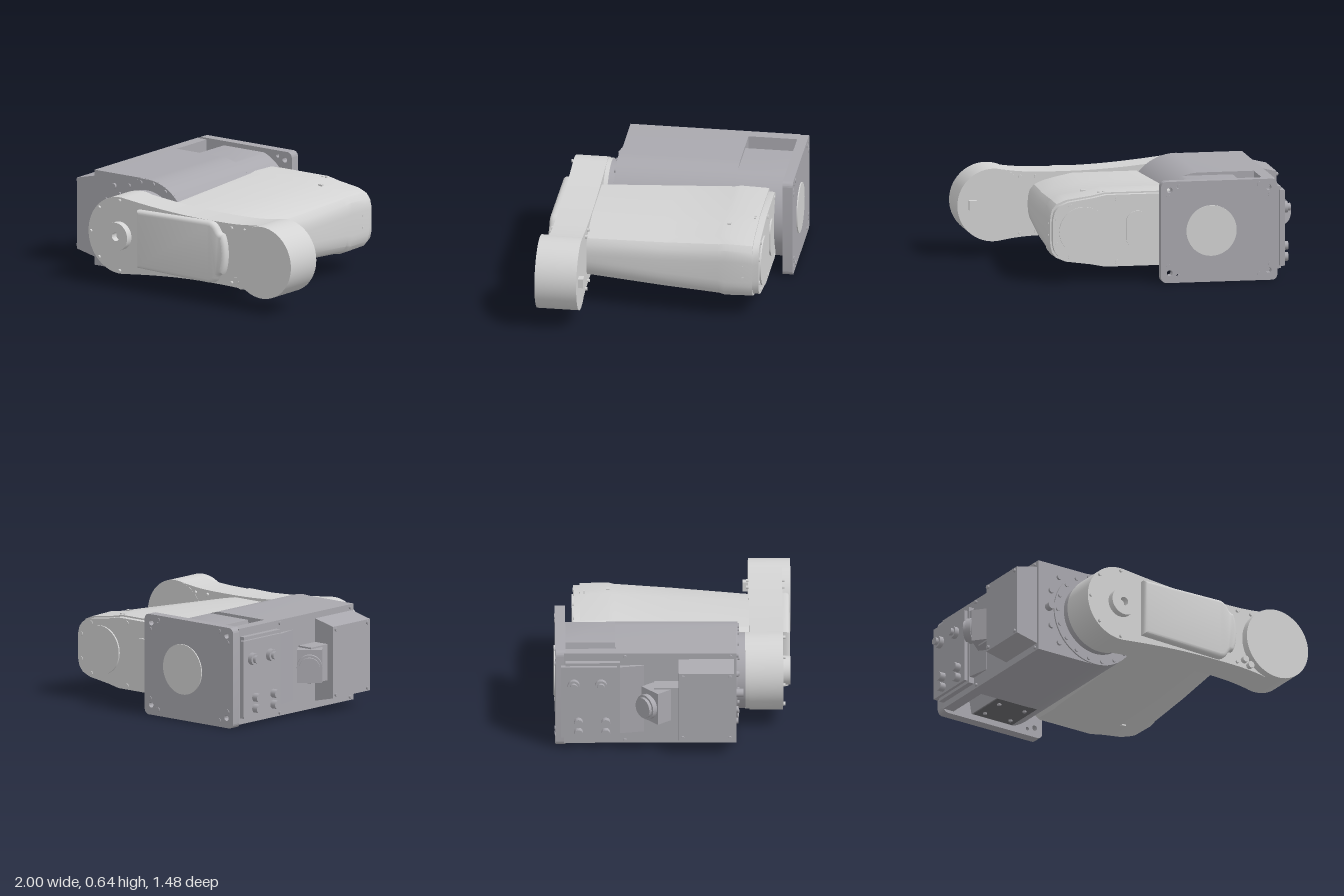
import * as THREE from 'three';
import { toCreasedNormals } from 'three/addons/utils/BufferGeometryUtils.js';

const mat = (name, color) => {
  const m = new THREE.MeshStandardMaterial({ color });
  m.name = name;
  return m;
};

export function createModel() {
  const model = new THREE.Group();
  model.name = 'robotArm';
  const baseGrey = mat('baseGrey', 0xa9a8ae);
  const armGrey = mat('armGrey', 0xd3d3d3);
  const darkGrey = mat('darkGrey', 0x6a6a6e);
  const CX = -0.375, CY = 0.325; // shoulder axis
  const EX = 0.77; // elbow axis

  const add = (name, geo, material, parent = model) => {
    const m = new THREE.Mesh(geo, material);
    m.name = name;
    parent.add(m);
    return m;
  };
  // box from its lower and upper corners
  const box = (name, a, b, material, parent) => {
    const m = add(name, new THREE.BoxGeometry(b[0] - a[0], b[1] - a[1], b[2] - a[2]), material, parent);
    m.position.set((a[0] + b[0]) / 2, (a[1] + b[1]) / 2, (a[2] + b[2]) / 2);
    return m;
  };
  // cylinder along z
  const disc = (name, x, y, r, z0, z1, material, parent, seg = 48) => {
    const g = new THREE.CylinderGeometry(r, r, z1 - z0, seg).rotateX(Math.PI / 2);
    const m = add(name, g, material, parent);
    m.position.set(x, y, (z0 + z1) / 2);
    return m;
  };
  // cylinder along x
  const sideDisc = (name, y, z, r, x0, x1, material, seg = 20) => {
    const g = new THREE.CylinderGeometry(r, r, x1 - x0, seg).rotateZ(Math.PI / 2);
    add(name, g, material).position.set((x0 + x1) / 2, y, z);
  };
  const extrude = (name, shape, z0, z1, material, bevel = 0) => {
    const g = new THREE.ExtrudeGeometry(shape, {
      depth: z1 - z0 - 2 * bevel, curveSegments: 24, bevelEnabled: bevel > 0,
      bevelSize: bevel, bevelThickness: bevel, bevelOffset: -bevel, bevelSegments: 3 });
    g.translate(0, 0, z0 + bevel);
    return add(name, toCreasedNormals(g, 0.6), material);
  };
  const polygon = (pts) => new THREE.Shape(pts.map(p => new THREE.Vector2(...p)));
  const hole = (shape, x, y, r) => shape.holes.push(new THREE.Path().absarc(x, y, r, 0, Math.PI * 2, true));
  const roundRect = (x0, y0, x1, y1, r) => {
    const s = new THREE.Shape();
    s.absarc(x1 - r, y1 - r, r, 0, Math.PI / 2);
    s.absarc(x0 + r, y1 - r, r, Math.PI / 2, Math.PI);
    s.absarc(x0 + r, y0 + r, r, Math.PI, Math.PI * 1.5);
    s.absarc(x1 - r, y0 + r, r, Math.PI * 1.5, Math.PI * 2);
    return s;
  };

  // ---- Base: square on one side, round about the shoulder on the other
  const front = new THREE.Shape();
  front.moveTo(-0.795, 0.02);
  front.lineTo(CX, 0.02);
  front.absarc(CX, CY, 0.305, -Math.PI / 2, Math.PI / 2);
  front.lineTo(-0.795, 0.63);
  extrude('baseBody', front, -0.36, 0.395, baseGrey);
  // rear part, with a deep slot and a shallow recess above and below
  const slot = [[-0.795, 0.63], [-0.72, 0.63], [-0.72, 0.5], [-0.605, 0.5], [-0.585, 0.612]];
  const rear = new THREE.Shape();
  rear.moveTo(-0.795, 0.02);
  slot.slice(1).forEach(([x, y]) => rear.lineTo(x, 2 * CY - y));
  rear.absarc(CX, CY, 0.305, -1.226, 1.226);
  slot.reverse().forEach(p => rear.lineTo(...p));
  extrude('baseRear', rear, -0.68, -0.36, baseGrey);
  box('undersideCover', [-0.58, 0.031, -0.655], [-0.29, 0.04, -0.375], darkGrey);
  for (const x of [-0.53, -0.34]) for (const z of [-0.6, -0.44])
    add('coverBolt', new THREE.CylinderGeometry(0.013, 0.013, 0.02, 8), baseGrey).position.set(x, 0.032, z);

  // ---- Mounting flange with bolt holes
  const flange = roundRect(-0.795, 0, -0.055, 0.64, 0.035);
  for (const s of [-1, 1]) {
    hole(flange, -0.165, CY + s * 0.28, 0.012);
    hole(flange, -0.11, CY + s * 0.262, 0.018);
    hole(flange, -0.74, CY + s * 0.262, 0.018);
  }
  extrude('mountingFlange', flange, -0.735, -0.67, baseGrey);
  disc('flangeCap', CX, CY, 0.16, -0.742, -0.73, armGrey);
  for (const x of [-0.75, -0.68, -0.17, -0.1]) for (const s of [-1, 1])
    disc('flangeBolt', x, CY + s * (x < -0.7 || x > -0.15 ? 0.22 : 0.285), 0.014, -0.74, -0.73, baseGrey, model, 8);

  // ---- Shoulder joint
  disc('shoulderCollar', CX, CY, 0.305, 0.39, 0.405, baseGrey, model, 64);
  disc('shoulderNeck', CX, CY, 0.235, 0.4, 0.455, baseGrey, model, 64);
  disc('linkHub', CX, CY, 0.24, 0.453, 0.49, armGrey, model, 64);
  for (let i = 0; i < 18; i++) {
    const a = i / 18 * Math.PI * 2;
    disc('collarBolt', CX + 0.283 * Math.cos(a), CY + 0.283 * Math.sin(a), 0.013, 0.4, 0.415, baseGrey, model, 8);
  }
  for (const s of [-1, 1]) {
    disc('basePlug', -0.7, CY + s * 0.12, 0.02, 0.39, 0.41, baseGrey, model, 12);
    disc('basePlug', -0.64, CY + s * 0.225, 0.018, 0.39, 0.41, baseGrey, model, 12);
    for (const z of [0.36, -0.3]) sideDisc('baseBolt', CY + s * 0.285, z, 0.011, -0.808, -0.79, baseGrey, 8);
  }
  disc('basePin', -0.72, CY, 0.026, 0.39, 0.44, baseGrey, model, 16);

  // ---- Side box, tapering outwards
  extrude('sideBox', polygon([[-0.945, 0.1], [-0.795, 0.065], [-0.795, 0.59], [-0.945, 0.555]]), 0.035, 0.38, baseGrey);
  for (const y of [0.12, 0.535]) for (const z of [0.06, 0.355])
    sideDisc('sideBoxBolt', y, z, 0.012, -0.958, -0.94, baseGrey, 8);

  // ---- Connector panel and plugs
  box('connectorPanel', [-0.83, 0.06, -0.67], [-0.79, 0.58, -0.33], baseGrey);
  box('connectorPlate', [-0.85, 0.08, -0.7], [-0.82, 0.56, -0.35], baseGrey);
  for (const z of [-0.62, -0.45]) {
    sideDisc('socketRim', 0.44, z, 0.038, -0.88, -0.84, baseGrey);
    sideDisc('socket', 0.44, z, 0.024, -0.9, -0.87, baseGrey);
    for (const y of [0.12, 0.19]) sideDisc('smallSocket', y, z + 0.03, 0.028, -0.89, -0.84, baseGrey, 12);
  }
  const wedge = polygon([[-0.79, 0.34], [-0.83, 0.34], [-0.8, 0.18], [-0.79, 0.18]]);
  extrude('panelWedge', wedge, 0.1, 0.55, baseGrey).rotation.x = -Math.PI / 2;
  const plug = new THREE.Group();
  plug.name = 'angledPlug';
  plug.position.set(-0.845, CY, -0.07);
  plug.rotation.y = Math.atan2(-0.65, -0.76);
  model.add(plug);
  box('plugBody', [-0.078, -0.105, -0.06], [0.078, 0.105, 0.1], baseGrey, plug);
  disc('plugNeck', 0, 0, 0.07, 0.09, 0.13, baseGrey, plug, 24);
  disc('plugRing', 0, 0, 0.08, 0.11, 0.14, baseGrey, plug, 24);
  disc('plugCap', 0, 0, 0.066, 0.13, 0.16, baseGrey, plug, 24);
  box('plugFoot', [-0.9, 0.21, -0.12], [-0.79, 0.44, 0.04], baseGrey);

  // ---- Main body: tapered loft from the rear cover to the link
  const section = (h, r, left) => {
    const top = [[left, h - 0.02], [left + 0.03, h], [0.27, h], [0.36, h - 0.018],
      [r - 0.1, h - 0.04], [r - 0.04, h - 0.065], [r - 0.012, h - 0.1], [r - 0.002, h - 0.14], [r, h - 0.17]];
    const bottom = top.map(([x, y]) => [x, -y]);
    return [...bottom, ...top.reverse()].map(([x, y]) => [x, CY + y]);
  };
  const stations = [[-0.575, 0.235, 0.62], [-0.4, 0.24, 0.62], [-0.36, 0.232, 0.614],
    [0, 0.213, 0.595], [0.5, 0.187, 0.55]];
  const pos = [], idx = [];
  stations.forEach(([z, h, r]) => section(h, r, -0.17).forEach(([x, y]) => pos.push(x, y, z)));
  const n = 18, last = (stations.length - 1) * n;
  for (let i = 0; i < stations.length - 1; i++) for (let j = 0; j < n; j++) {
    const a = i * n + j, b = i * n + (j + 1) % n;
    idx.push(a, b, b + n, a, b + n, a + n);
  }
  for (let j = 1; j < n - 1; j++) idx.push(0, j + 1, j, last, last + j, last + j + 1);
  const loft = new THREE.BufferGeometry();
  loft.setAttribute('position', new THREE.Float32BufferAttribute(pos, 3));
  loft.setIndex(idx);
  add('mainBody', toCreasedNormals(loft, 0.45), armGrey);
  extrude('rearCover', polygon(section(0.225, 0.61, -0.14)), -0.615, -0.57, armGrey);
  disc('rearRoundCap', 0.415, CY, 0.155, -0.625, -0.61, armGrey);
  extrude('rearOvalCap', roundRect(0, CY - 0.12, 0.145, CY + 0.12, 0.072), -0.625, -0.61, armGrey);
  for (const [x, y] of [[-0.08, 0.2], [0.2, 0.2], [0.5, 0.16], [0.58, 0.08]]) for (const s of [-1, 1])
    disc('rearCoverBolt', x, CY + s * y, 0.014, -0.62, -0.61, armGrey, model, 8);
  for (const y of [0.29, 0.365]) sideDisc('bodyPlug', y, -0.515, 0.008, 0.615, 0.622, armGrey, 8);
  for (const x of [0.27, 0.3]) box('topPlug', [x, 0.555, -0.555], [x + 0.012, 0.564, -0.543], armGrey);
  for (const s of [-1, 1]) // small clip where the rear zone begins
    box('bodyClip', [0.36, CY + s * 0.22 - 0.008, -0.41], [0.39, CY + s * 0.22 + 0.008, -0.39], armGrey);

  // ---- Link arm, waisted between shoulder and elbow
  const link = new THREE.Shape();
  link.absarc(CX, CY, 0.245, Math.PI * 0.45, Math.PI * 1.55);
  link.bezierCurveTo(-0.1, CY - 0.215, 0.1, CY - 0.2, 0.3, CY - 0.2);
  link.bezierCurveTo(0.5, CY - 0.2, 0.58, CY - 0.2, EX - 0.05, CY - 0.225);
  link.absarc(EX, CY, 0.229, -Math.PI * 0.54, Math.PI * 0.54);
  link.bezierCurveTo(0.58, CY + 0.2, 0.5, CY + 0.2, 0.3, CY + 0.2);
  link.bezierCurveTo(0.1, CY + 0.2, -0.1, CY + 0.215, CX + 0.038, CY + 0.242);
  extrude('linkArm', link, 0.48, 0.69, armGrey);
  disc('elbowDrum', EX, CY, 0.23, 0.478, 0.742, armGrey, model, 72);
  box('elbowSocket', [0.88, 0.3, 0.445], [0.93, 0.36, 0.48], armGrey);

  // ---- Link front cover and shoulder boss
  const cover = new THREE.Shape();
  cover.moveTo(-0.22, 0.145);
  cover.lineTo(0.34, 0.13);
  cover.bezierCurveTo(0.42, 0.13, 0.4, 0.2, 0.45, 0.2);
  cover.bezierCurveTo(0.485, 0.26, 0.485, 0.39, 0.45, 0.455);
  cover.bezierCurveTo(0.4, 0.455, 0.42, 0.525, 0.34, 0.525);
  cover.lineTo(-0.22, 0.515);
  extrude('linkCover', cover, 0.66, 0.735, armGrey, 0.025);
  const boss = new THREE.Shape().absarc(CX, CY, 0.09, 0, Math.PI * 2);
  hole(boss, CX, CY, 0.028);
  extrude('shoulderBoss', boss, 0.68, 0.735, armGrey);

  // ---- Link bolts
  for (const a of [30, 90, 135, 180, 225, 270, 330]) {
    const t = a * Math.PI / 180;
    disc('linkBolt', CX + 0.225 * Math.cos(t), CY + 0.225 * Math.sin(t), 0.011, 0.685, 0.705, armGrey, model, 8);
  }
  for (const [x, y] of [[0.5, 0.5], [0.6, 0.5], [0.5, 0.15], [0.6, 0.14]])
    disc('linkBolt', x, y, 0.011, 0.465, 0.705, armGrey, model, 8);
  for (const [x, y] of [[0.55, 0.175], [0.59, 0.145]])
    disc('linkFitting', x, y, 0.022, 0.685, 0.72, armGrey, model, 12);

  return model;
}
